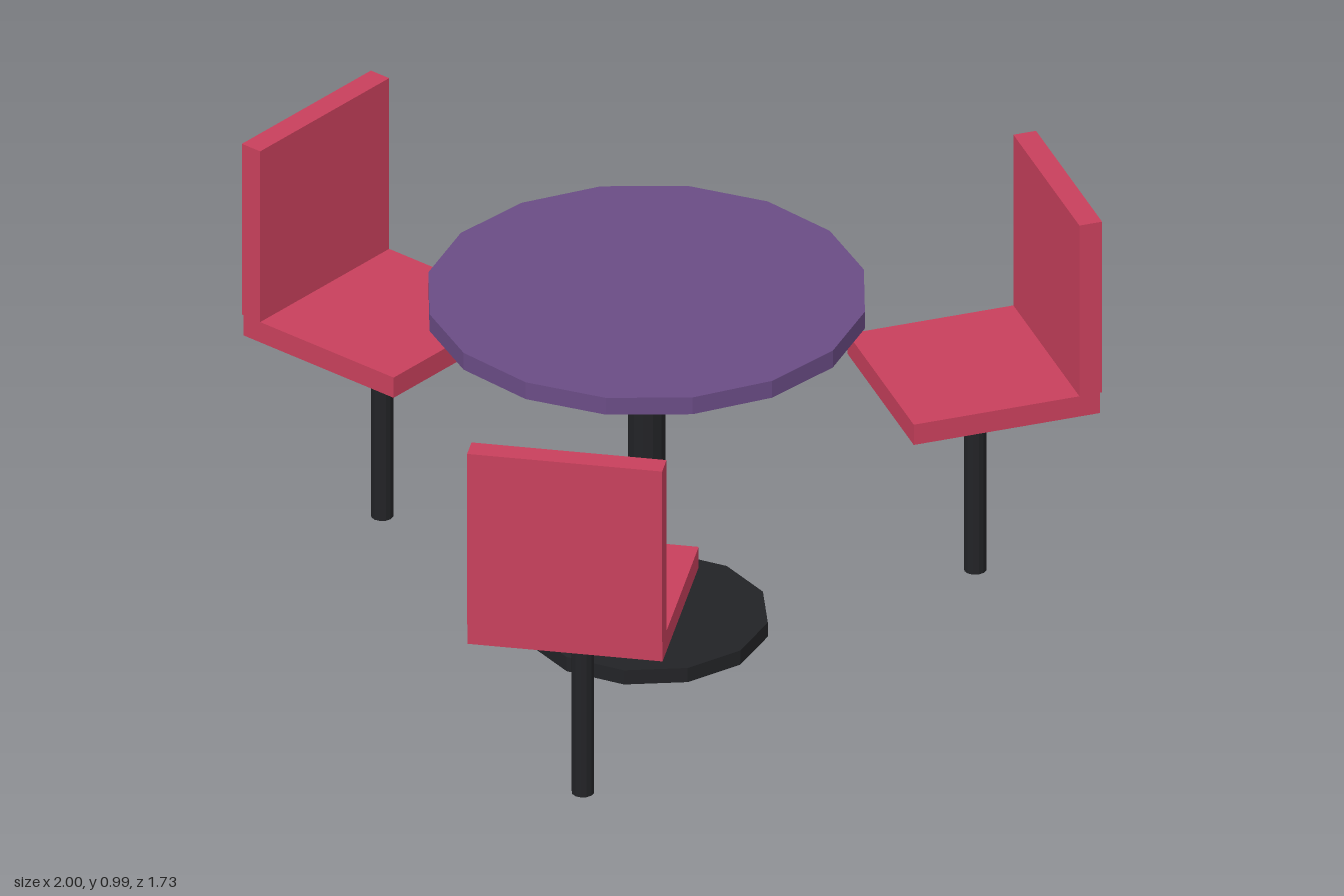
import * as THREE from 'three';

const material = (color) => new THREE.MeshStandardMaterial({ color, flatShading: true });
const red = material(0xc8405c);
const purple = material(0x6a4c85);
const black = material(0x222326);

function add(parent, name, geometry, mat, x, y, z) {
  const mesh = new THREE.Mesh(geometry, mat);
  mesh.name = name;
  mesh.position.set(x, y, z);
  parent.add(mesh);
}

// Upright cylinder spanning y0..y1
function disc(parent, name, radius, y0, y1, sides, mat, z = 0) {
  add(parent, name, new THREE.CylinderGeometry(radius, radius, y1 - y0, sides), mat, 0, (y0 + y1) / 2, z);
}

// Box spanning y0..y1 and z0..z1, centred on x
function slab(parent, name, width, y0, y1, z0, z1, mat) {
  add(parent, name, new THREE.BoxGeometry(width, y1 - y0, z1 - z0), mat, 0, (y0 + y1) / 2, (z0 + z1) / 2);
}

// Chair facing the table's axis, which is the local origin
function createChair() {
  const chair = new THREE.Group();
  chair.name = 'chair';
  slab(chair, 'seat', 0.454, 0.487, 0.54, 0.568, 1.02, red);
  slab(chair, 'backrest', 0.454, 0.54, 0.987, 0.97, 1.025, red);
  disc(chair, 'chairLeg', 0.026, 0, 0.487, 12, black, 0.797);
  return chair;
}

export function createModel() {
  const model = new THREE.Group();
  model.name = 'tableWithChairs';
  model.position.z = -0.16;

  // Pedestal table
  const table = new THREE.Group();
  table.name = 'table';
  disc(table, 'tableTop', 0.508, 0.83, 0.874, 16, purple);
  disc(table, 'tablePost', 0.044, 0.037, 0.83, 12, black);
  disc(table, 'tableBase', 0.282, 0, 0.037, 12, black);
  model.add(table);

  // Three chairs evenly spaced around the table
  for (let i = 0; i < 3; i++) {
    const chair = createChair();
    chair.rotation.y = (i * Math.PI * 2) / 3;
    model.add(chair);
  }

  const root = new THREE.Group();
  root.add(model);
  return root;
}
